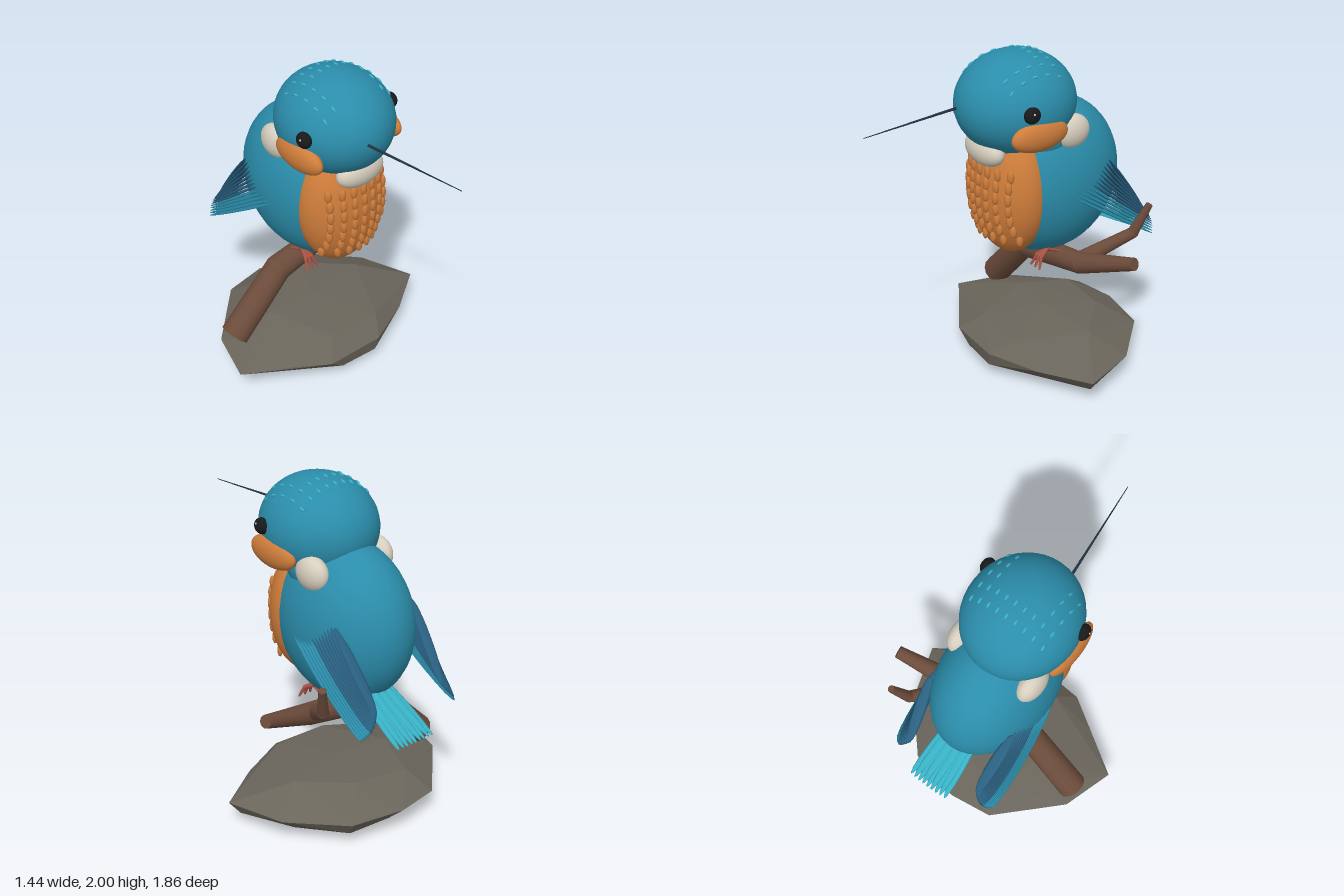
import * as THREE from 'three';
import { ConvexGeometry } from 'three/addons/geometries/ConvexGeometry.js';

const paint = (name, color, flatShading = false) => {
  const m = new THREE.MeshStandardMaterial({ color, flatShading });
  m.name = name;
  return m;
};
const V = (x, y, z) => new THREE.Vector3(x, y, z);

export function createModel() {
  const blue = paint('kingfisherBlue', 0x2b8dab);
  const deepBlue = paint('wingBlue', 0x2a6283);
  const aqua = paint('tailAqua', 0x38b0c4);
  const orange = paint('breastOrange', 0xcf7d3b);
  const cream = paint('cream', 0xd6cebe);
  const black = paint('eyeBlack', 0x18191b);
  const beakDark = paint('beakDark', 0x20343e);
  const red = paint('legRed', 0xaa5242);
  const bark = paint('barkBrown', 0x6c4c3b);
  const stone = paint('stoneGrey', 0x6a655b, true);

  const model = new THREE.Group();
  model.name = 'birdOnBranch';
  const group = (name) => {
    const g = new THREE.Group();
    g.name = name;
    model.add(g);
    return g;
  };
  const add = (parent, name, geometry, material) => {
    const m = new THREE.Mesh(geometry, material);
    m.name = name;
    parent.add(m);
    return m;
  };

  const ball = new THREE.SphereGeometry(1, 40, 28);
  const smallBall = new THREE.SphereGeometry(1, 8, 6);
  const ellipsoid = (parent, name, material, pos, size, geometry = ball) => {
    const m = add(parent, name, geometry, material);
    m.position.set(...pos);
    m.scale.set(...size);
    return m;
  };
  // Tapered round rod between two points
  const rod = (parent, name, material, a, b, r0, r1, sides = 14) => {
    const m = add(parent, name, new THREE.CylinderGeometry(r1, r0, a.distanceTo(b), sides), material);
    m.position.copy(a).lerp(b, 0.5);
    m.quaternion.setFromUnitVectors(V(0, 1, 0), b.clone().sub(a).normalize());
    return m;
  };
  // Jointed limb through several points
  const limb = (parent, name, material, pts, radii, sides) => {
    for (let i = 0; i < pts.length - 1; i++) {
      rod(parent, name, material, pts[i], pts[i + 1], radii[i], radii[i + 1], sides);
      if (i) ellipsoid(parent, name + 'Joint', material, pts[i].toArray(), Array(3).fill(radii[i]),
        new THREE.SphereGeometry(1, 16, 12));
    }
  };
  // Long flat feather from a to b, its width lying sideways
  const feather = (parent, name, material, a, b, width, thick) => {
    const along = b.clone().sub(a);
    const half = along.length() / 2;
    along.normalize();
    const normal = V(1, 0, 0).cross(along).normalize();
    const side = along.clone().cross(normal);
    const m = add(parent, name, new THREE.SphereGeometry(1, 8, 10), material);
    m.quaternion.setFromRotationMatrix(new THREE.Matrix4().makeBasis(side, along, normal));
    m.position.copy(a).lerp(b, 0.5);
    m.scale.set(width, half, thick);
  };

  // Rock
  const rockPoints = [
    [0, .3, -.26], [.41, .285, -.3], [-.31, .29, -.3], [.15, .29, -.55], [-.15, .26, .1], [.2, .25, .12],
    [-.2, .27, -.6], [-.55, .22, -.3], [-.72, .16, -.09], [-.62, .17, -.41], [-.27, .165, -.76],
    [0, .17, -.8], [.33, .17, -.73], [.6, .16, -.44], [.72, .16, -.09], [.43, .16, .1], [.12, .17, .235],
    [-.25, .16, .21], [-.45, .17, .08], [0, 0, -.26], [.66, .08, -.12], [.33, .035, -.3], [-.37, .04, -.25],
    [-.6, .1, -.12], [.1, .08, .22], [-.15, .08, .2], [0, .05, -.68], [.3, .08, -.68], [-.25, .08, -.68],
    [.5, .07, -.42], [-.48, .08, -.42],
  ].map((p) => V(...p));
  add(model, 'rock', new ConvexGeometry(rockPoints), stone);

  // Branch and side twig
  const branch = group('branch');
  limb(branch, 'mainBranch', bark,
    [V(-.585, .26, -.31), V(-.245, .61, -.29), V(.29, .70, -.31), V(.675, .835, -.4)], [.09, .083, .065, .038]);
  limb(branch, 'twig', bark,
    [V(.27, .71, -.33), V(.43, .88, -.59), V(.49, 1.07, -.655)], [.05, .035, .022], 10);

  // Body, neck and head
  ellipsoid(model, 'body', blue, [0, 1.2, -.27], [.33, .485, .465]);
  ellipsoid(model, 'neck', blue, [0, 1.52, -.16], [.27, .2, .25]);
  ellipsoid(model, 'head', blue, [0, 1.7, -.04], [.33, .3, .36]);
  ellipsoid(model, 'breast', orange, [0, 1.19, 0], [.285, .42, .215]);
  ellipsoid(model, 'throatBib', cream, [0, 1.455, .17], [.165, .095, .08]);

  // Scale-like feathers on the breast
  const breastFeathers = group('breastFeathers');
  for (let row = 0; row < 7; row++) {
    for (let col = -3; col <= 3; col++) {
      const x = col * .068, y = 1.34 - row * .069;
      const depth = 1 - (x / .285) ** 2 - ((y - 1.19) / .42) ** 2;
      if (depth < .05) continue;
      const z = .215 * Math.sqrt(depth);
      const m = ellipsoid(breastFeathers, 'breastFeather', orange, [x, y, z + .004], [.022, .042, .016], smallBall);
      m.rotation.y = Math.atan2(x / .285 ** 2, z / .215 ** 2);
    }
  }

  // Spots on the crown
  const crown = group('crownSpots');
  [-.175, -.095, -.01, .07, .145].forEach((z, row) => {
    for (let col = -4; col <= 4; col++) {
      if (row > 1 && Math.abs(col) < 3) continue;
      const x = col * .058;
      const y = 1.7 + .3 * Math.sqrt(1 - (x / .33) ** 2 - ((z + .04) / .36) ** 2);
      const m = ellipsoid(crown, 'crownSpot', aqua, [x, y, z], [.008, .008, .021], smallBall);
      m.rotation.x = Math.atan2((z + .04) / .36 ** 2, (y - 1.7) / .3 ** 2);
    }
  });

  // Beak
  rod(model, 'beak', beakDark, V(-.075, 1.71, .25), V(0, 1.7, .93), .009, .002, 8);

  // Paired parts
  for (const s of [-1, 1]) {
    const sideName = s > 0 ? 'left' : 'right';
    const face = group(sideName + 'Face');
    ellipsoid(face, 'cheek', orange, [s * .295, 1.595, 0], [.058, .092, .187]);
    ellipsoid(face, 'neckPatch', cream, [s * .235, 1.54, -.265], [.07, .103, .117]);
    ellipsoid(face, 'eye', black, [s * .318, 1.735, .07], [.038, .047, .05]);
    ellipsoid(face, 'eyeGlint', cream, [s * .351, 1.752, .078], [.005, .007, .007], smallBall);

    // Wing: feathers stacked from the low outer edge to the high inner edge
    const wing = group(sideName + 'Wing');
    const count = 13;
    for (let i = 0; i < count; i++) {
      const t = i / (count - 1);
      const root = V(s * (.315 - .03 * t), 1.18 + .14 * t, -.2 - .31 * t);
      const tip = V(s * (.35 - .1 * t), .775 + .13 * t, -.82 - .03 * Math.sin(t * Math.PI));
      feather(wing, 'wingFeather', i < 5 ? blue : deepBlue, root, tip, .038, .009);
    }

    // Leg and toes
    const foot = group(sideName + 'Foot');
    const ankle = V(s * .145, .775, -.17);
    rod(foot, 'leg', red, V(s * .145, .82, -.25), ankle, .016, .014, 8);
    for (const k of [-1, 0, 1]) {
      limb(foot, 'toe', red,
        [ankle, V(s * .145 + k * .022, .745, -.115), V(s * .145 + k * .042, .678, -.085)], [.013, .012, .006], 8);
    }
    rod(foot, 'backToe', red, ankle, V(s * .145, .73, -.27), .012, .007, 8);
  }

  // Tail fan
  const tail = group('tail');
  for (let i = 0; i < 9; i++) {
    const t = i / 8 - .5;
    const lift = .004 * (i % 2);
    feather(tail, 'tailFeather', aqua,
      V(.04 + t * .17, .925 + lift, -.5), V(.045 + t * .25, .7 + lift, -.93 + .03 * t * t), .026, .006);
  }

  return model;
}
